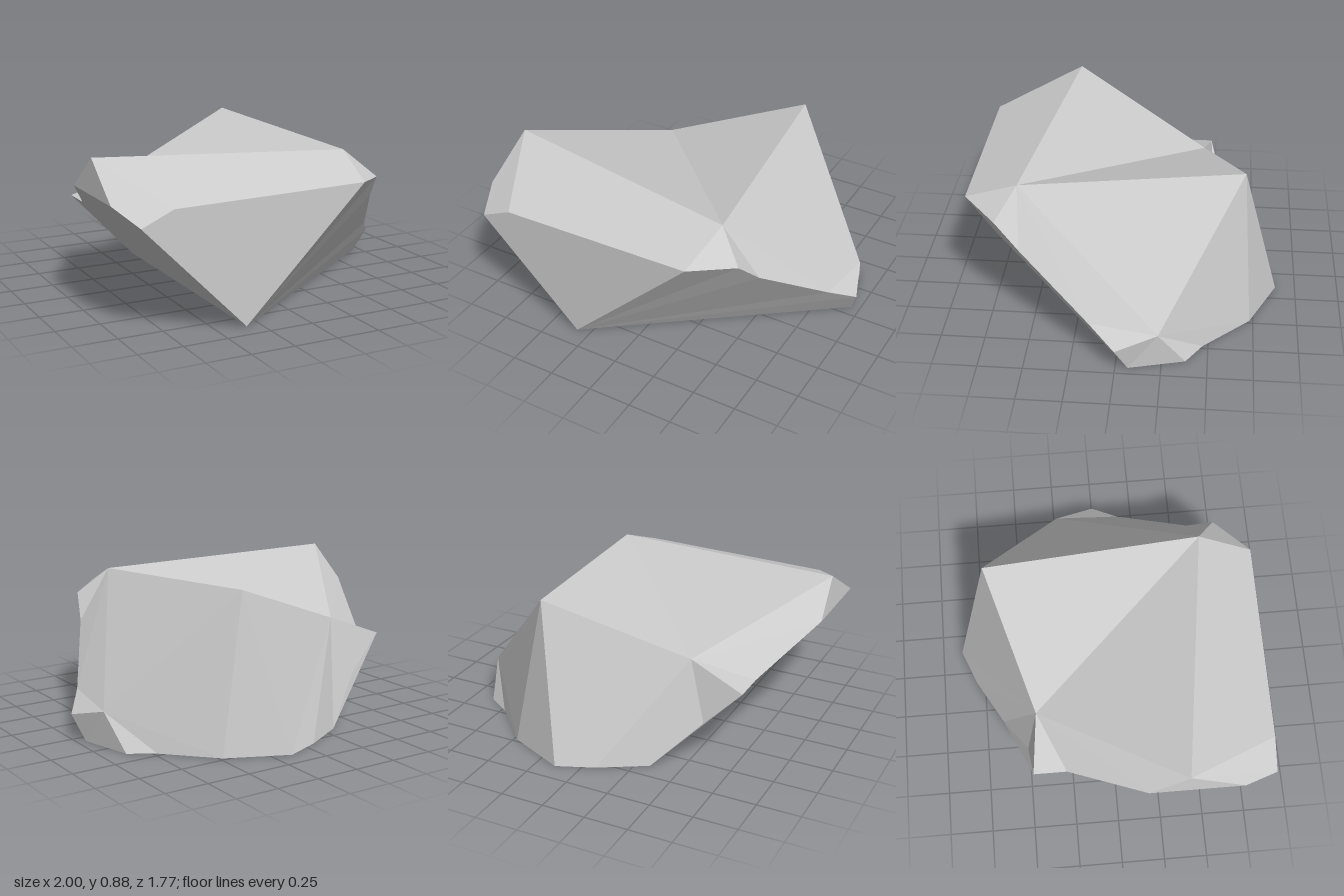
import * as THREE from 'three';

const v = (x, y, z) => new THREE.Vector3(x, y, z);

export function createModel() {
  // Five high corners of the rock
  const peak = v(0.32, 0.88, -0.67);
  const rightCrest = v(0.44, 0.82, 0.58);
  const leftCrest = v(-0.98, 0.87, 0.38);
  const dip = v(-0.47, 0.59, -0.43);
  const shoulder = v(0.92, 0.205, -0.23);

  // Footprint on the ground, from the front corner round the +x side to the back
  const foot = [
    [-0.33, 0.885], [0.95, -0.07], [0.87, -0.38], [0.73, -0.47],
    [0.48, -0.73], [0.14, -0.885], [-0.07, -0.8], [-0.33, -0.65],
  ].map(([x, z]) => v(x, 0, z));
  const [front, side] = foot;
  const back = foot[7];

  // Rim of the sloping underside at -x; all its points lie on one plane
  const leftRim = [
    [-0.92, 0.885], [-1, 0.69], [-1, 0.16], [-0.79, -0.28], [-0.79, -0.47], [-0.58, -0.5],
  ].map(([x, z]) => v(x, -(x + 0.33) * 1.015, z));

  // Rim of the overhang at +x, from the low end up to the front face
  const rightRim = [
    v(1, 0.145, 0), v(0.885, 0.24, 0.15), v(0.65, 0.53, 0.55),
    v(0.595, 0.67, 0.69), v(0.385, 0.7, 0.885),
  ];
  const frontLeft = v(-0.74, 0.68, 0.885);
  const frontRight = rightRim[4];

  // Each facet group is a fan of triangles about a hub, counter-clockwise from outside
  const corners = [];
  const fan = (hub, ring) => {
    for (let i = 0; i + 1 < ring.length; i++) corners.push(hub, ring[i], ring[i + 1]);
  };

  // Flat cuts: base, left underside, front face, right overhang
  fan(front, foot.slice(1).reverse());
  fan(back, [front, ...leftRim]);
  fan(front, [frontRight, frontLeft, leftRim[0]]);
  fan(front, [side, ...rightRim]);

  // Upper facets about each high corner
  fan(dip, [peak, ...foot.slice(5), ...leftRim.slice(2).reverse(), leftCrest, rightCrest, peak]);
  fan(peak, [rightCrest, shoulder, foot[4], foot[5]]);
  fan(shoulder, [rightCrest, rightRim[1], rightRim[0], ...foot.slice(1, 5)]);
  fan(rightCrest, [leftCrest, ...rightRim.slice(1).reverse()]);
  fan(leftCrest, [leftRim[2], leftRim[1], leftRim[0], frontLeft, frontRight]);

  const geometry = new THREE.BufferGeometry().setFromPoints(corners);
  geometry.computeVertexNormals();
  const rock = new THREE.Mesh(
    geometry,
    new THREE.MeshStandardMaterial({ color: 0xcccccc, flatShading: true }),
  );
  rock.name = 'rock';

  const group = new THREE.Group();
  group.name = 'lowPolyRock';
  group.add(rock);
  return group;
}
